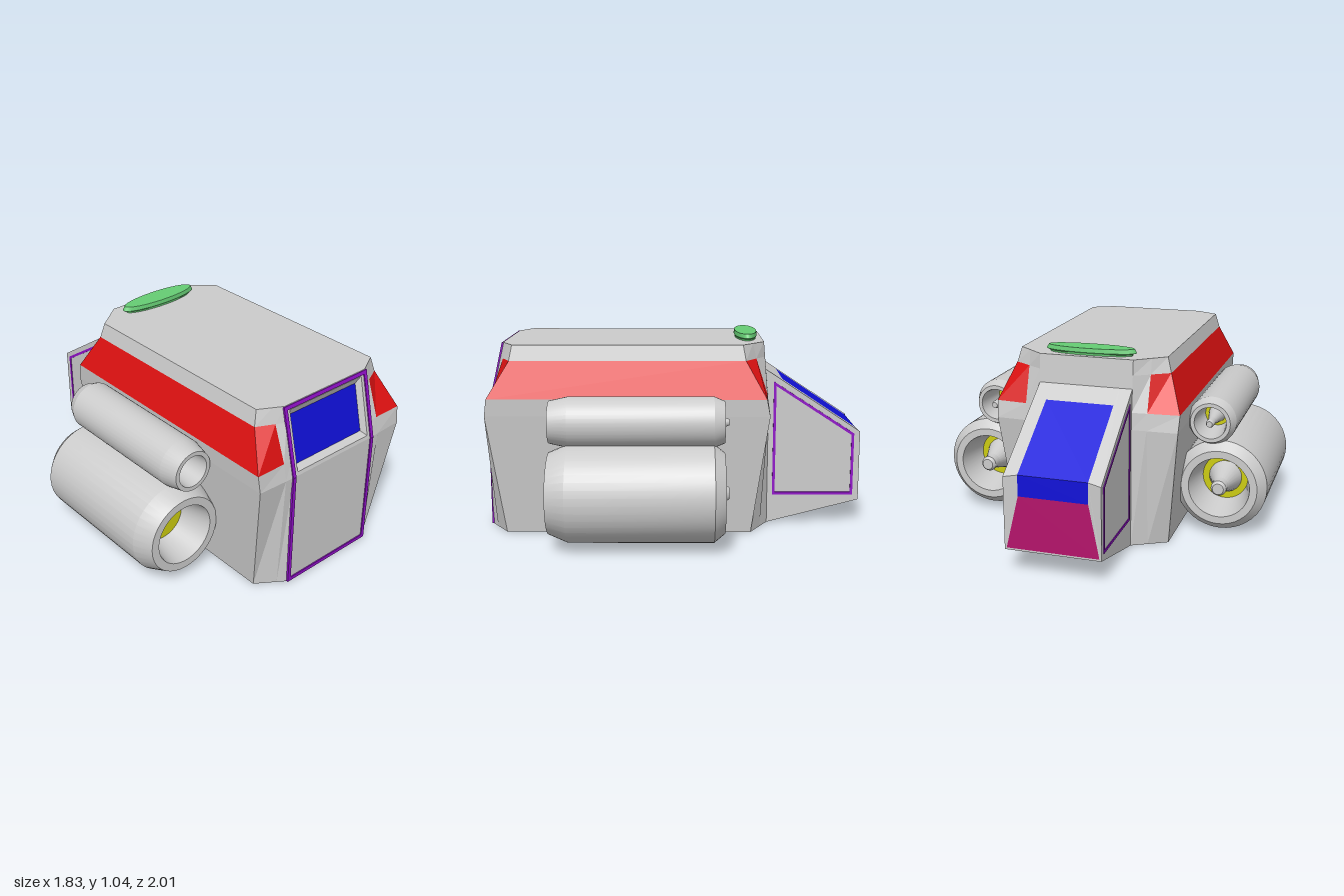
import * as THREE from 'three';
import { toCreasedNormals } from 'three/addons/utils/BufferGeometryUtils.js';

const GREY = 0xcccccc, RED = 0xdd1111, BLUE = 0x1010d8, YELLOW = 0xcccc10;
const PURPLE = 0x9010c8, MAGENTA = 0xb01068, GREEN = 0x66cc74;

function addMesh(parent, name, geometry, color = GREY, side = THREE.FrontSide) {
  const mesh = new THREE.Mesh(geometry, new THREE.MeshStandardMaterial({ color, side }));
  mesh.name = name;
  parent.add(mesh);
  return mesh;
}

// Flat-shaded surface from convex polygons, corners counterclockwise
function polygons(faces) {
  const pos = [];
  for (const f of faces)
    for (let i = 1; i < f.length - 1; i++) pos.push(...f[0], ...f[i], ...f[i + 1]);
  const g = new THREE.BufferGeometry();
  g.setAttribute('position', new THREE.Float32BufferAttribute(pos, 3));
  g.computeVertexNormals();
  return g;
}

const mirrorFace = f => f.map(([x, y, z]) => [-x, y, z]).reverse();
const withMirror = faces => [...faces, ...faces.map(mirrorFace)];

function bar(parent, name, x, y, w, h) {
  addMesh(parent, name, new THREE.BoxGeometry(w, h, 0.012), PURPLE).position.set(x, y, 0);
}

// One twelve-sided horizontal section of the hull
function hullRing([y, front, cornerX, cornerFront, cornerBack, back]) {
  const split = (x0, z0, z1) => z0 + (z1 - z0) * (0.33 - x0) / (cornerX - x0);
  const half = [
    [0.28, y, front], [0.33, y, split(0.28, front, cornerFront)], [cornerX, y, cornerFront],
    [cornerX, y, cornerBack], [0.33, y, split(0.25, back, cornerBack)], [0.25, y, back],
  ];
  return [...half, ...mirrorFace(half)];
}

function buildHull(root) {
  const rings = [
    [0, 1, 0.43, 0.9, -0.4, -0.5],
    [0.64, 1, 0.492, 0.99, -0.49, -0.5],
    [0.73, 0.979, 0.497, 0.978, -0.472, -0.494],
    [0.92, 0.934, 0.422, 0.865, -0.365, -0.477],
    [1, 0.915, 0.4, 0.85, -0.35, -0.47],
  ].map(hullRing);
  const grey = [[...rings[0]].reverse(), rings[4]], red = [];
  for (let b = 0; b < 4; b++) {
    for (let i = 0; i < 12; i++) {
      if (i === 11 && b > 0) continue; // the window panel fills this opening
      const j = (i + 1) % 12, lo = rings[b], hi = rings[b + 1];
      const isRed = b === 2 && [1, 2, 3, 7, 8, 9].includes(i);
      (isRed ? red : grey).push([lo[i], lo[j], hi[j], hi[i]]);
    }
  }
  addMesh(root, 'hull', polygons(grey));
  addMesh(root, 'redStripe', polygons(red), RED);
}

function buildFront(root) {
  // Lower door outline
  const lower = new THREE.Group();
  lower.name = 'lowerDoorFrame';
  lower.position.z = 1;
  root.add(lower);
  for (const s of [-1, 1]) bar(lower, 'doorSideBar', s * 0.278, 0.325, 0.02, 0.63);
  bar(lower, 'doorBottomBar', 0, 0.012, 0.576, 0.02);

  // Tilted upper door with recessed window
  const upper = new THREE.Group();
  upper.name = 'windowPanel';
  upper.position.set(0, 0.64, 1);
  upper.rotation.x = -Math.atan2(0.085, 0.36);
  root.add(upper);
  const rect = (w, v0, v1, z) => [[-w, v0, z], [w, v0, z], [w, v1, z], [-w, v1, z]];
  const loops = [rect(0.28, 0, 0.37, 0), rect(0.25, 0.02, 0.342, 0), rect(0.228, 0.05, 0.308, -0.025)];
  const faces = [];
  for (let k = 0; k < 2; k++)
    for (let i = 0; i < 4; i++) {
      const j = (i + 1) % 4;
      faces.push([loops[k][i], loops[k][j], loops[k + 1][j], loops[k + 1][i]]);
    }
  addMesh(upper, 'windowSurround', polygons(faces));
  addMesh(upper, 'windowPane', polygons([loops[2]]), BLUE);
  for (const s of [-1, 1]) bar(upper, 'doorSideBar', s * 0.278, 0.183, 0.02, 0.366);
  bar(upper, 'doorTopBar', 0, 0.357, 0.576, 0.02);
}

function buildTail(root) {
  const slope = z => 0.84 - 0.66 * (-0.5 - z);
  const top = (x, z) => [x, slope(z), z];
  const zf = -0.47, zw = -0.58, zr = -0.985, W = 0.25, w = 0.18;
  const sideFace = [[W, 0, zf], [W, 0, -0.5], [W, 0.13, -1], top(W, -1), top(W, zf)];
  const seam = 0.41, low = [0.24, 0.14, -1];
  addMesh(root, 'tail', polygons([
    ...withMirror([
      sideFace,
      [top(w, zf), top(w, zr), top(W, -1), top(W, zf)].reverse(),
      [top(W, -1), [W, 0.13, -1], low, [w, seam, zr], top(w, zr)],
    ]),
    [top(-w, zf), top(w, zf), top(w, zw), top(-w, zw)].reverse(),
    [[-W, 0.13, -1], [-W, 0, -0.5], [W, 0, -0.5], [W, 0.13, -1]].reverse(),
    [[W, 0.13, -1], [-W, 0.13, -1], [-0.24, 0.14, -1], low],
  ]), GREY, THREE.DoubleSide);
  addMesh(root, 'tailWindow', polygons([
    [top(w, zw), top(w, zr), top(-w, zr), top(-w, zw)],
    [top(w, zr), [w, seam, zr], [-w, seam, zr], top(-w, zr)],
  ]), BLUE, THREE.DoubleSide);
  addMesh(root, 'tailPanel', polygons([
    [[w, seam, zr], low, [-0.24, 0.14, -1], [-w, seam, zr]],
  ]), MAGENTA, THREE.DoubleSide);

  // Thin outline on each side of the tail
  const pts = a => a.map(([d, y]) => new THREE.Vector2(d, y));
  const shape = new THREE.Shape(pts([[0.528, 0.785], [0.528, 0.158], [0.968, 0.158], [0.968, 0.5]]));
  shape.holes.push(new THREE.Path(pts([[0.542, 0.76], [0.954, 0.492], [0.954, 0.172], [0.542, 0.172]])));
  for (const s of [-1, 1]) {
    const outline = addMesh(root, 'tailSideOutline',
      new THREE.ExtrudeGeometry(shape, { depth: 0.008, bevelEnabled: false }), PURPLE);
    outline.rotation.y = Math.PI / 2;
    outline.position.x = s * W - 0.004;
  }
}

// Turned part along z; profile given as [radius, z]
function turned(profile, segments = 40) {
  const g = new THREE.LatheGeometry(profile.map(([r, z]) => new THREE.Vector2(r, z)), segments);
  return toCreasedNormals(g.rotateX(Math.PI / 2), 0.4);
}

function buildEngine(root, name, x, y, scale) {
  const engine = new THREE.Group();
  engine.name = name;
  engine.position.set(x, y, 0);
  engine.scale.set(scale, scale, 1);
  root.add(engine);
  addMesh(engine, 'casing', turned([
    [0.125, -0.06], [0.165, -0.25], [0.205, -0.25], [0.25, -0.195],
    [0.25, 0.54], [0.208, 0.64], [0.165, 0.64], [0.125, 0.46],
  ]), GREY, THREE.DoubleSide);
  addMesh(engine, 'intakeDisc', new THREE.CircleGeometry(0.127, 40), YELLOW).position.z = 0.46;
  const rear = addMesh(engine, 'exhaustDisc', new THREE.CircleGeometry(0.127, 40), YELLOW);
  rear.rotation.y = Math.PI;
  rear.position.z = -0.06;
  addMesh(engine, 'exhaustCone', turned([
    [0, -0.272], [0.03, -0.272], [0.042, -0.255], [0.042, -0.2], [0.09, -0.06],
  ], 24), GREY, THREE.DoubleSide);
}

export function createModel() {
  const root = new THREE.Group();
  root.name = 'shuttle';
  buildHull(root);
  buildFront(root);
  buildTail(root);
  for (const s of [-1, 1]) {
    buildEngine(root, 'largeEngine', s * 0.663, 0.28, 1);
    buildEngine(root, 'smallEngine', s * 0.607, 0.635, 0.52);
  }
  // Oval roof hatch
  const hatch = toCreasedNormals(new THREE.LatheGeometry([
    [0.22, 0.99], [0.225, 1.008], [0.245, 1.015], [0.232, 1.037], [0, 1.037],
  ].map(p => new THREE.Vector2(...p)), 48), 0.4);
  const roofHatch = addMesh(root, 'roofHatch', hatch, GREEN);
  roofHatch.scale.z = 0.255;
  roofHatch.position.z = -0.385;
  return root;
}
